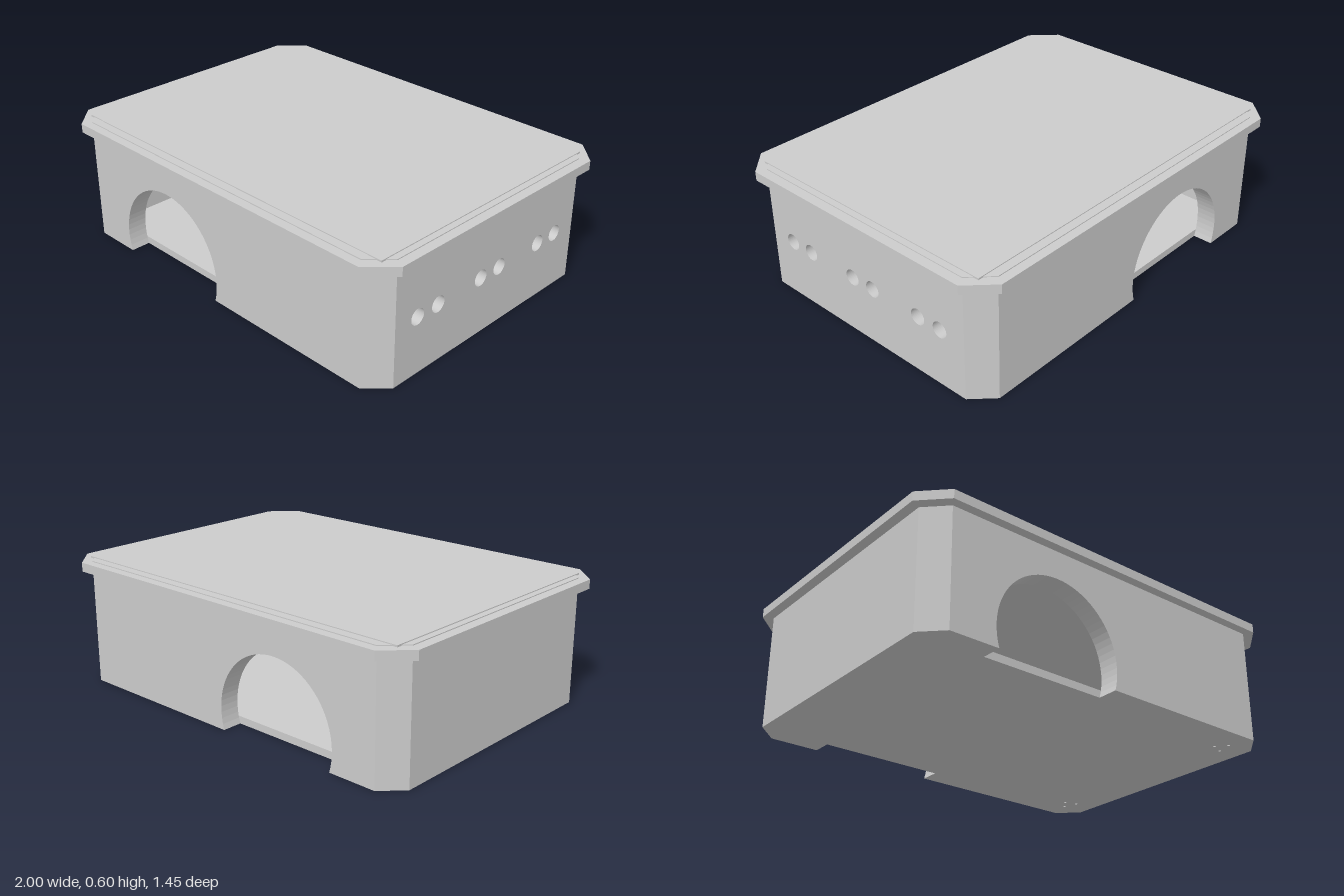
import * as THREE from 'three';

const W = 0.955, D = 0.685, C = 0.095; // body half width, half depth, corner cut and wall thickness
const WALL_TOP = 0.55, FLOOR = 0.035;

const material = new THREE.MeshStandardMaterial({ color: 0xcccccc, flatShading: true });

function polygon(points) {
  return new THREE.Shape(points.map(([x, y]) => new THREE.Vector2(x, y)));
}

function circleHole(x, y, r) {
  const path = new THREE.Path();
  path.absarc(x, y, r, 0, Math.PI * 2, true);
  return path;
}

function extrude(shape, depth, curveSegments = 16) {
  return new THREE.ExtrudeGeometry(shape, { depth, bevelEnabled: false, curveSegments });
}

// Upright prism: the shape's y becomes -z, its depth runs from y0 to y1
function slab(shape, y0, y1) {
  return extrude(shape, y1 - y0).rotateX(-Math.PI / 2).translate(0, y0, 0);
}

function octagon(w, d, c) {
  return polygon([
    [w - c, -d], [w, -d + c], [w, d - c], [w - c, d],
    [-w + c, d], [-w, d - c], [-w, -d + c], [-w + c, -d],
  ]);
}

export function createModel() {
  const group = new THREE.Group();
  const add = (name, geometry) => {
    const mesh = new THREE.Mesh(geometry, material);
    mesh.name = name;
    group.add(mesh);
  };

  // Long walls with the arched opening running down to the base
  const ax = -0.32, ay = 0.095, r = 0.32;
  const a = Math.asin(-ay / r);
  const wall = new THREE.Shape();
  wall.moveTo(-W + C, 0);
  wall.lineTo(ax - r * Math.cos(a), 0);
  wall.absarc(ax, ay, r, Math.PI - a, a, true);
  wall.lineTo(W - C, 0);
  wall.lineTo(W - C, WALL_TOP);
  wall.lineTo(-W + C, WALL_TOP);
  add('frontWall', extrude(wall, C, 22).translate(0, 0, D - C));
  add('backWall', extrude(wall, C, 22).translate(0, 0, -D));

  // Short walls; the +x one carries three pairs of round holes
  for (const side of [1, -1]) {
    const end = polygon([[-D + C, 0], [D - C, 0], [D - C, WALL_TOP], [-D + C, WALL_TOP]]);
    if (side > 0) {
      for (const z of [0.397, 0.002, -0.393]) {
        for (const dz of [0.062, -0.062]) end.holes.push(circleHole(-(z + dz), 0.275, 0.038));
      }
    }
    const geometry = extrude(end, C, 24).rotateY(Math.PI / 2);
    add(side > 0 ? 'leftWall' : 'rightWall', geometry.translate(side > 0 ? W - C : -W, 0, 0));
  }

  // Angled corner posts
  for (const sx of [1, -1]) {
    for (const sz of [1, -1]) {
      const x = sx * (W - C), z = sz * (D - C);
      const corner = polygon([[x, -z], [x + sx * C, -z], [x, -z - sz * C]]);
      add('cornerPost', slab(corner, 0, WALL_TOP));
    }
  }

  // Floor between the walls, with small screw holes near the +x corners
  const fx = W - C, fz = D - C;
  const floor = polygon([[-fx, -fz], [fx, -fz], [fx, fz], [-fx, fz]]);
  for (const s of [1, -1]) {
    for (const [x, z] of [[0.84, 0.5], [0.78, 0.52], [0.82, 0.57]]) {
      floor.holes.push(circleHole(x, s * z, 0.007));
    }
  }
  add('floor', slab(floor, 0, FLOOR));

  // Overhanging lid with a slightly raised stepped panel
  add('lid', slab(octagon(1, 0.727, 0.115), 0.547, 0.59));
  add('lidStep', slab(octagon(W, D, C), 0.59, 0.594));
  add('lidPanel', new THREE.BoxGeometry(1.85, 0.008, 1.29).translate(0, 0.594, 0));

  return group;
}
